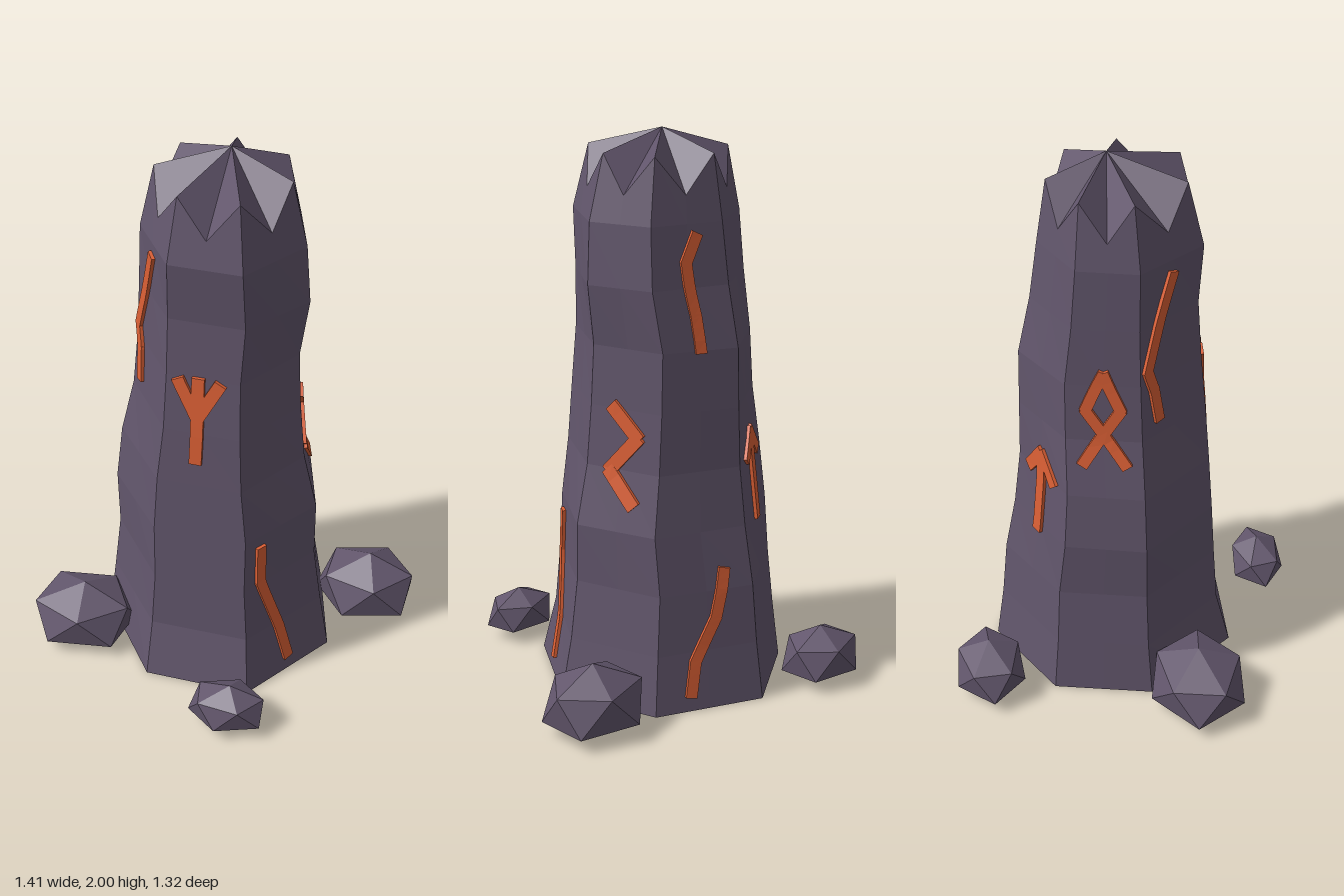
import * as THREE from 'three';

const stone = new THREE.MeshStandardMaterial({ color: 0x62566c });
stone.name = 'purpleStone';
const glow = new THREE.MeshStandardMaterial({ color: 0xdc6035 });
glow.name = 'emberOrange';

// Flat-shaded triangle collector
function facets() {
  const pos = [];
  const tri = (a, b, c) => pos.push(...a, ...b, ...c);
  const quad = (a, b, c, d) => { tri(a, b, c); tri(a, c, d); };
  const mesh = (name, material) => {
    const g = new THREE.BufferGeometry();
    g.setAttribute('position', new THREE.Float32BufferAttribute(pos, 3));
    g.computeVertexNormals();
    const m = new THREE.Mesh(g, material);
    m.name = name;
    return m;
  };
  return { tri, quad, mesh };
}

// Seven-sided plan, from the back corner round by the left (+x) side
const PLAN = [[-0.1, -1], [0.77, -0.58], [1, 0.25], [0.42, 1], [-0.47, 0.96], [-1, 0.21], [-0.82, -0.58]];
// Each level: y, reach to +x, -x, +z, -z
const LEVELS = [
  [0, 0.413, 0.455, 0.40, 0.49], [0.213, 0.375, 0.43, 0.345, 0.46], [0.427, 0.345, 0.405, 0.33, 0.44],
  [0.64, 0.345, 0.41, 0.315, 0.40], [0.853, 0.295, 0.385, 0.30, 0.375], [1.067, 0.275, 0.335, 0.285, 0.37],
  [1.28, 0.265, 0.315, 0.265, 0.365], [1.493, 0.295, 0.305, 0.25, 0.32], [1.706, 0.28, 0.295, 0.265, 0.29],
  [1.93, 0.225, 0.245, 0.21, 0.255],
];
const MID_Z = -0.05;

// Corner i of the pillar at any height
function corner(i, y) {
  let k = 0;
  while (k < LEVELS.length - 2 && y > LEVELS[k + 1][0]) k++;
  const a = LEVELS[k], b = LEVELS[k + 1];
  const t = (y - a[0]) / (b[0] - a[0]);
  const [px, nx, pz, nz] = [1, 2, 3, 4].map((n) => a[n] + (b[n] - a[n]) * t);
  const [ux, uz] = PLAN[(i + 7) % 7];
  return [ux * (ux > 0 ? px : nx), y, MID_Z + uz * (uz > 0 ? pz - MID_Z : nz + MID_Z)];
}

// Point on face i: s runs to the right as seen from outside, off is outward
function onFace(i, s, y, off) {
  const r = corner(i, y), l = corner(i + 1, y);
  const dx = r[0] - l[0], dz = r[2] - l[2], d = Math.hypot(dx, dz);
  return [(r[0] + l[0]) / 2 + (dx * s - dz * off) / d, y, (r[2] + l[2]) / 2 + (dz * s + dx * off) / d];
}

// Tapering pillar with a jagged, notched crown
function pillar() {
  const f = facets(), n = LEVELS.length;
  const rings = LEVELS.map(([y], k) => {
    const ring = [];
    for (let i = 0; i < 7; i++) ring.push(corner(i, y), onFace(i, 0, k === n - 1 ? 1.8 : y, 0));
    return ring;
  });
  const apex = [0.005, 2, MID_Z], foot = [0, 0, MID_Z];
  for (let i = 0; i < 14; i++) {
    const j = (i + 1) % 14;
    for (let k = 0; k < n - 1; k++) f.quad(rings[k][i], rings[k + 1][i], rings[k + 1][j], rings[k][j]);
    f.tri(apex, rings[n - 1][j], rings[n - 1][i]);
    f.tri(foot, rings[0][i], rings[0][j]);
  }
  return f.mesh('pillar', stone);
}

// Raised strokes laid along a pillar face
function carving(name, face, width, lines) {
  const f = facets(), h = width / 2;
  for (const line of lines) {
    for (let p = 0; p < line.length - 1; p++) {
      const [s0, y0] = line[p], [s1, y1] = line[p + 1];
      const len = Math.hypot(s1 - s0, y1 - y0);
      const ts = (s1 - s0) / len, ty = (y1 - y0) / len;
      const steps = Math.ceil(len / 0.04), ext = h * 0.35;
      const sections = [];
      for (let q = 0; q <= steps; q++) {
        const d = -ext + (len + 2 * ext) * q / steps;
        const s = s0 + ts * d, y = y0 + ty * d;
        sections.push([[-h, -0.008], [-h, 0.012], [h, 0.012], [h, -0.008]].map(
          ([w, off]) => onFace(face, s + ty * w, y - ts * w, off)));
      }
      for (let q = 0; q < steps; q++) {
        const A = sections[q], B = sections[q + 1];
        for (let k = 0; k < 4; k++) f.quad(A[k], A[(k + 1) % 4], B[(k + 1) % 4], B[k]);
      }
      const A = sections[0], B = sections[steps];
      f.quad(A[0], A[3], A[2], A[1]);
      f.quad(...B);
    }
  }
  return f.mesh(name, glow);
}

// Faceted boulder with a flat underside
function boulder(name, x, z, rx, rz, top, turn) {
  const f = facets(), base = 0.05;
  const ring = (r, y, shift) => Array.from({ length: 5 }, (_, i) => {
    const a = turn + (i + shift) * Math.PI * 0.4;
    return [x + Math.sin(a) * rx * r, y, z - Math.cos(a) * rz * r];
  });
  const up = ring(0.93, base + (top - base) * 0.62, 0), low = ring(1.04, base, 0.5);
  const apex = [x + rx * 0.05, top, z], under = [x, base, z];
  for (let i = 0; i < 5; i++) {
    const j = (i + 1) % 5;
    f.tri(apex, up[j], up[i]);
    f.tri(up[i], up[j], low[i]);
    f.tri(low[i], up[j], low[j]);
    f.tri(under, low[i], low[j]);
  }
  return f.mesh(name, stone);
}

export function createModel() {
  const group = new THREE.Group();
  group.name = 'carvedStandingStone';
  group.add(
    pillar(),
    // Runes
    carving('frontForkRune', 3, 0.045, [
      [[-0.015, 0.955], [-0.015, 1.28]], [[-0.015, 1.13], [-0.085, 1.27]], [[-0.015, 1.13], [0.06, 1.27]]]),
    carving('sideZigzagRune', 1, 0.05, [[[-0.05, 1.075], [0.055, 0.975], [-0.05, 0.85], [0.055, 0.74]]]),
    carving('backArrowRune', 6, 0.045, [
      [[0, 0.62], [0, 0.94]], [[0, 0.94], [-0.075, 0.85]], [[0, 0.94], [0.075, 0.85]]]),
    carving('sideDiamondRune', 5, 0.04, [
      [[-0.075, 0.98], [0.06, 1.19], [0, 1.33]], [[0.075, 0.98], [-0.06, 1.19], [0, 1.33]]]),
    // Glowing cracks
    carving('frontLowCrack', 2, 0.042, [[[-0.1, 0.59], [-0.1, 0.44], [-0.03, 0.2], [0, 0.06]]]),
    carving('frontHighCrack', 4, 0.04, [[[0, 1.66], [-0.06, 1.48], [-0.115, 1.33], [-0.09, 1.25], [-0.075, 1.13]]]),
    carving('backHighCrack', 0, 0.04, [[[0.03, 1.67], [-0.015, 1.58], [0, 1.4], [0, 1.28]]]),
    carving('backLowCrack', 0, 0.042, [[[-0.07, 0.06], [-0.05, 0.18], [0.03, 0.33], [0.07, 0.5]]]),
    // Boulders round the foot
    boulder('rightBoulder', -0.51, 0.205, 0.2, 0.17, 0.24, 0.5),
    boulder('leftBoulder', 0.515, -0.2, 0.19, 0.16, 0.25, 0.35),
    boulder('frontBoulder', 0.14, 0.56, 0.14, 0.1, 0.185, 0.2),
    boulder('backBoulder', -0.32, -0.54, 0.157, 0.125, 0.21, 0.3),
  );
  return group;
}
